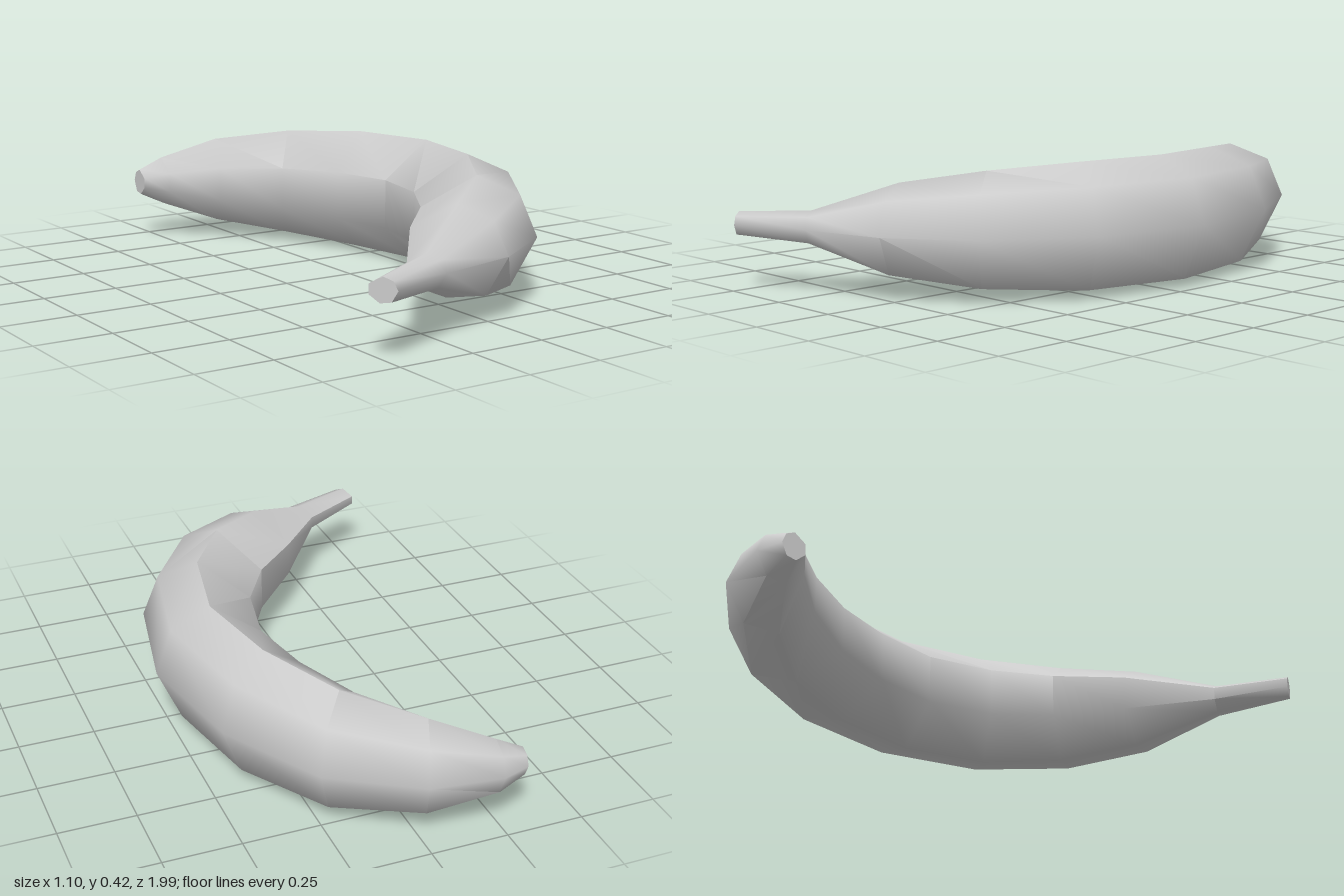
import * as THREE from 'three';
import { toCreasedNormals } from 'three/addons/utils/BufferGeometryUtils.js';

// Stations along the curve, tip to stem: outer x, z, inner x, z, half height
const stations = [
  [-0.32, -0.97, -0.32, -0.89, 0.045],
  [-0.23, -1.0, -0.24, -0.84, 0.085],
  [0.0, -0.97, -0.1, -0.71, 0.15],
  [0.27, -0.8, 0.045, -0.51, 0.187],
  [0.46, -0.47, 0.14, -0.29, 0.207],
  [0.545, -0.06, 0.185, -0.06, 0.21],
  [0.47, 0.34, 0.14, 0.17, 0.207],
  [0.27, 0.65, 0.03, 0.36, 0.187],
  [0.02, 0.82, -0.14, 0.54, 0.147],
  [-0.26, 0.89, -0.33, 0.79, 0.053],
  [-0.5, 0.99, -0.55, 0.92, 0.038],
];

// Seven-sided section: u runs from inner (0) to outer (1), v is height
const section = [[1, 0], [0.85, 0.7], [0.48, 1], [0, 0.4], [0, -0.4], [0.38, -1], [0.78, -0.86]];
const MID_Y = 0.213;

function loft() {
  const n = section.length;
  const positions = [];
  const index = [];
  for (const [ox, oz, ix, iz, h] of stations) {
    for (const [u, v] of section) {
      positions.push(ix + (ox - ix) * u, MID_Y + v * h, iz + (oz - iz) * u);
    }
  }
  // Skin between neighbouring sections
  for (let i = 0; i < stations.length - 1; i++) {
    for (let j = 0; j < n; j++) {
      const a = i * n + j;
      const b = i * n + (j + 1) % n;
      index.push(a, b, b + n, a, b + n, a + n);
    }
  }
  // Flat caps on both ends
  const last = (stations.length - 1) * n;
  for (let j = 1; j < n - 1; j++) {
    index.push(0, j + 1, j);
    index.push(last, last + j, last + j + 1);
  }
  const geometry = new THREE.BufferGeometry();
  geometry.setAttribute('position', new THREE.Float32BufferAttribute(positions, 3));
  geometry.setIndex(index);
  return toCreasedNormals(geometry, 0.98);
}

export function createModel() {
  const group = new THREE.Group();
  group.name = 'banana';
  const peel = new THREE.Mesh(loft(), new THREE.MeshStandardMaterial({ color: 0xcccccc }));
  peel.name = 'peel';
  group.add(peel);
  return group;
}
